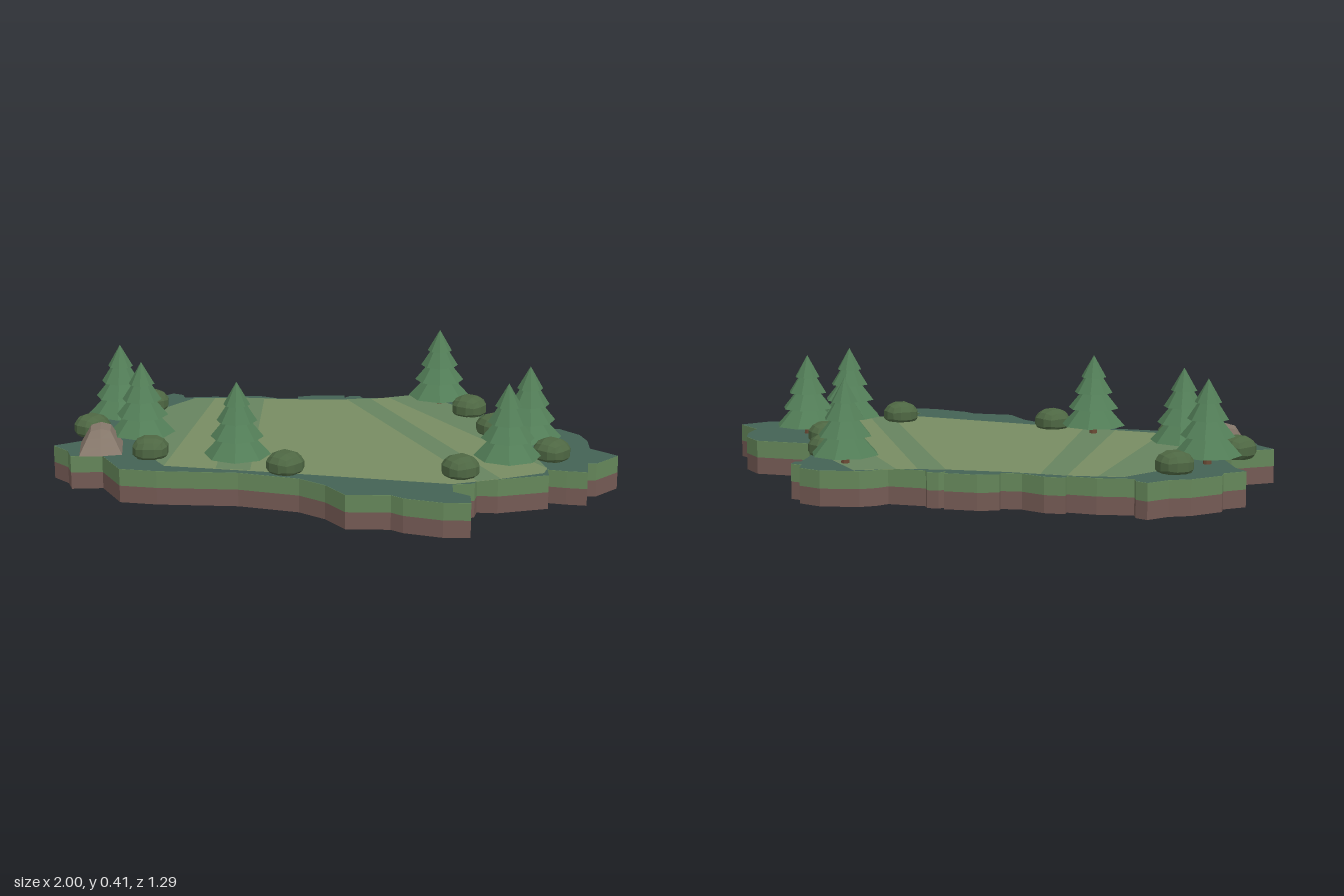
import * as THREE from 'three';

const TOP = 0.12;
const mat = (color, side = THREE.FrontSide) =>
  new THREE.MeshStandardMaterial({ color, flatShading: true, roughness: 1, side });

// Ground-plan shape from flat x, z pairs
function plan(list) {
  const pts = [];
  for (let i = 0; i < list.length; i += 2) pts.push(new THREE.Vector2(list[i], -list[i + 1]));
  return new THREE.Shape(pts);
}

function addMesh(parent, name, geometry, material) {
  const mesh = new THREE.Mesh(geometry, material);
  mesh.name = name;
  parent.add(mesh);
  return mesh;
}

function slab(parent, name, shape, y, height, color) {
  const g = new THREE.ExtrudeGeometry(shape, { depth: height, bevelEnabled: false });
  g.rotateX(-Math.PI / 2).translate(0, y, 0);
  return addMesh(parent, name, g, mat(color));
}

function patch(parent, name, shape, y, color) {
  const g = new THREE.ShapeGeometry(shape);
  g.rotateX(-Math.PI / 2).translate(0, y, 0);
  return addMesh(parent, name, g, mat(color));
}

// Island coastline, clockwise seen from above
const COAST = [
  -1, 0.07, -0.92, 0.02, -0.86, -0.02, -0.84, -0.14, -0.9, -0.3, -0.94, -0.35,
  -0.87, -0.4, -0.87, -0.44, -0.78, -0.52, -0.71, -0.55, -0.65, -0.61, -0.61, -0.59,
  -0.6, -0.555, -0.48, -0.57, -0.38, -0.56, -0.38, -0.585, -0.31, -0.585, -0.23, -0.55,
  -0.16, -0.555, -0.16, -0.58, -0.09, -0.6, 0.02, -0.6, 0.02, -0.57, 0.04, -0.595,
  0.08, -0.595, 0.09, -0.57, 0.22, -0.565, 0.25, -0.6, 0.3, -0.63, 0.43, -0.65,
  0.51, -0.62, 0.52, -0.57, 0.56, -0.56, 0.56, -0.52, 0.54, -0.52, 0.54, -0.43,
  0.56, -0.28, 0.6, -0.25, 0.6, -0.19, 0.82, -0.18, 0.885, -0.11, 0.905, -0.04,
  0.905, 0.05, 0.995, 0.13, 0.91, 0.22, 0.88, 0.22, 0.87, 0.315, 0.8, 0.305,
  0.735, 0.29, 0.735, 0.35, 0.56, 0.4, 0.49, 0.395, 0.48, 0.445, 0.405, 0.455,
  0.405, 0.53, 0.46, 0.57, 0.46, 0.64, 0.37, 0.64, 0.24, 0.6, 0.2, 0.57,
  0.05, 0.57, -0.02, 0.475, -0.11, 0.41, -0.32, 0.355, -0.6, 0.345, -0.73, 0.325,
  -0.81, 0.18, -0.92, 0.19, -0.94, 0.13,
];

// Meadow and the strips running across it
const MEADOW = [
  -0.56, -0.54, -0.38, -0.555, -0.18, -0.54, 0.03, -0.545, 0.16, -0.565, 0.32, -0.625,
  0.5, -0.4, 0.65, -0.05, 0.735, 0.28, 0.72, 0.33, 0.56, 0.4, 0.405, 0.455,
  -0.16, 0.355, -0.58, 0.29, -0.68, 0.12, -0.7, -0.15, -0.65, -0.42,
];
const STRIPS = [
  [-0.56, -0.54, -0.48, -0.547, -0.58, 0.29, -0.68, 0.12, -0.7, -0.15, -0.65, -0.42],
  [-0.38, -0.555, -0.29, -0.548, -0.28, 0.33, -0.4, 0.315],
  [0.03, -0.545, 0.12, -0.56, 0.57, 0.395, 0.49, 0.425],
  [0.19, -0.575, 0.32, -0.625, 0.5, -0.4, 0.65, -0.05, 0.735, 0.28],
];

// Fir: trunk and one tiered eight-sided crown
function makeTree(x, z) {
  const tree = new THREE.Group();
  tree.name = 'firTree';
  const trunk = new THREE.CylinderGeometry(0.012, 0.015, 0.06, 8).translate(0, 0.025, 0);
  addMesh(tree, 'trunk', trunk, mat(0x6b4a35));
  const profile = [
    [0, 0.045], [0.116, 0.033], [0.05, 0.105], [0.092, 0.096], [0.04, 0.16],
    [0.07, 0.153], [0.03, 0.215], [0.046, 0.21], [0, 0.29],
  ].map(([r, y]) => new THREE.Vector2(r, y));
  addMesh(tree, 'crown', new THREE.LatheGeometry(profile, 8), mat(0x527d57));
  tree.position.set(x, TOP, z);
  return tree;
}

// Bush: subdivided cube rounded to a faceted, flattened dome
function makeBush(x, z, turn) {
  const g = new THREE.BoxGeometry(1, 1, 1, 3, 3, 3);
  const p = g.attributes.position;
  const v = new THREE.Vector3();
  for (let i = 0; i < p.count; i++) {
    v.fromBufferAttribute(p, i).normalize();
    p.setXYZ(i, v.x * 0.067, Math.max(v.y * 0.05 + 0.025, -0.005), v.z * 0.067);
  }
  g.computeVertexNormals();
  const bush = new THREE.Mesh(g, mat(0x4e6743));
  bush.name = 'bush';
  bush.position.set(x, TOP, z);
  bush.rotation.y = turn;
  return bush;
}

// Rock: block tapering upwards and leaning towards the back
function makeRock(x, z) {
  const g = new THREE.BoxGeometry(1, 1, 1, 2, 3, 2);
  const p = g.attributes.position;
  for (let i = 0; i < p.count; i++) {
    const t = p.getY(i) + 0.5;
    const width = 0.15 - 0.08 * t;
    const depth = 0.16 - 0.08 * t;
    const bulge = Math.abs(p.getX(i)) < 0.1 ? 1.12 : 1;
    p.setXYZ(i, p.getX(i) * width, t * 0.07 * bulge, p.getZ(i) * depth * bulge - 0.025 * t);
  }
  g.computeVertexNormals();
  const rock = new THREE.Mesh(g, mat(0x85776a));
  rock.name = 'rock';
  rock.position.set(x, TOP, z);
  rock.rotation.y = 0.12;
  return rock;
}

export function createModel() {
  const model = new THREE.Group();
  model.name = 'forestIsland';

  // Layered ground
  const coast = plan(COAST);
  slab(model, 'soilLayer', coast, 0, 0.06, 0x745a54);
  slab(model, 'grassLayer', coast, 0.06, TOP - 0.06, 0x65875a);
  patch(model, 'forestFloor', coast, TOP + 0.0008, 0x446355);
  patch(model, 'meadow', plan(MEADOW), TOP + 0.0016, 0x788c62);
  for (const s of STRIPS) patch(model, 'meadowStrip', plan(s), TOP + 0.0024, 0x67835f);

  // Trees
  const trees = [
    [-0.8, -0.25], [-0.69, -0.01], [-0.33, 0.24], [0.385, -0.51], [0.6, 0.235], [0.69, 0.01],
  ];
  for (const [x, z] of trees) model.add(makeTree(x, z));

  // Bushes
  const bushes = [
    [-0.71, -0.41, 0.6], [-0.885, -0.085, 1.0], [-0.64, 0.175, 0], [-0.16, 0.33, 0.9],
    [0.435, 0.355, 0.6], [0.76, 0.16, 0.9], [0.575, -0.13, 0.6], [0.495, -0.37, 1.0],
  ];
  for (const [x, z, turn] of bushes) model.add(makeBush(x, z, turn));

  model.add(makeRock(-0.825, 0.1));
  return model;
}
